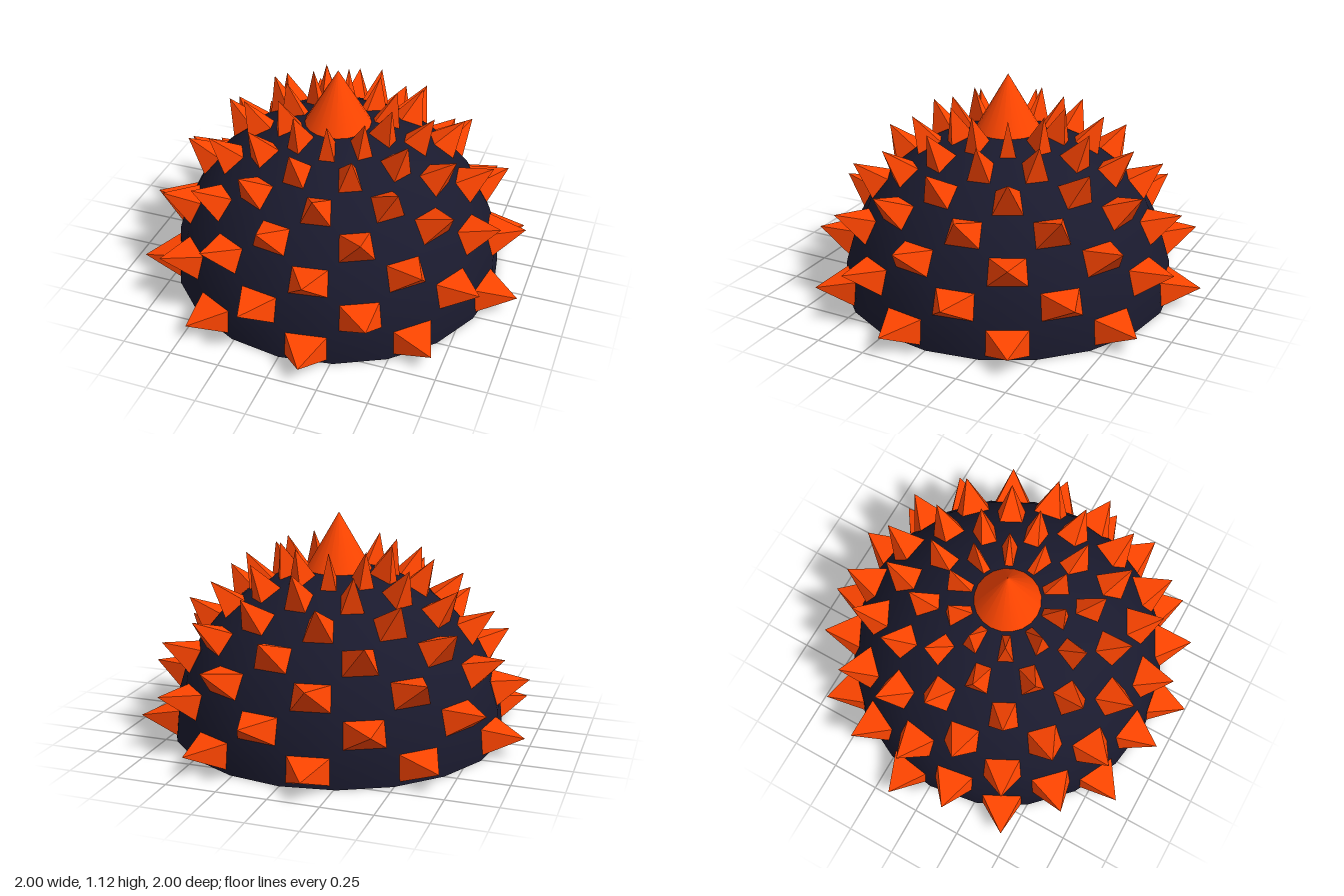
import * as THREE from 'three';

const R = 0.85, TIP = 1.0174, COLS = 20, ROWS = 8, INSET = 0.77;
const LAT = Math.PI / 2 / ROWS, LON = (Math.PI * 2) / COLS;

const onSphere = (r, row, col) => new THREE.Vector3(
  r * Math.cos(row * LAT) * Math.cos(col * LON),
  r * Math.sin(row * LAT),
  r * Math.cos(row * LAT) * Math.sin(col * LON));

// Corners of one grid cell, anticlockwise seen from outside
const cellCorners = (row, col) => [
  onSphere(R, row, col + 1), onSphere(R, row, col),
  onSphere(R, row + 1, col), onSphere(R, row + 1, col + 1)];

// The same cell shrunk towards its middle
function insetCorners(corners) {
  const mid = corners.reduce((s, p) => s.add(p), new THREE.Vector3()).multiplyScalar(0.25);
  return corners.map(p => mid.clone().lerp(p, INSET));
}

function fromTriangles(points) {
  const geometry = new THREE.BufferGeometry().setFromPoints(points);
  geometry.computeVertexNormals();
  return geometry;
}

export function createModel() {
  const group = new THREE.Group();
  const shellMaterial = new THREE.MeshStandardMaterial({ color: 0x1a1a2e, side: THREE.DoubleSide });
  const spikeMaterial = new THREE.MeshStandardMaterial({ color: 0xff4500, side: THREE.DoubleSide });

  const shell = [];
  const quad = (a, b, c, d) => shell.push(a, b, c, a, c, d);
  const spikes = new THREE.Group();
  spikes.name = 'spikes';

  // Checkerboard of plain cells and cells opened into hollow spikes
  for (let row = 0; row < ROWS - 1; row++) {
    for (let col = 0; col < COLS; col++) {
      const outer = cellCorners(row, col);
      if ((row + col) % 2) {
        quad(...outer);
        continue;
      }
      const inner = insetCorners(outer);
      const tip = onSphere(TIP, row + 0.5, col + 0.5);
      const faces = [];
      for (let i = 0; i < 4; i++) {
        const j = (i + 1) % 4;
        quad(outer[i], outer[j], inner[j], inner[i]);
        faces.push(inner[i], inner[j], tip);
      }
      const spike = new THREE.Mesh(fromTriangles(faces), spikeMaterial);
      spike.name = 'spike';
      spikes.add(spike);
    }
  }

  // Open dome with smooth, radial normals
  const domeGeometry = fromTriangles(shell);
  const normals = shell.flatMap(p => p.clone().normalize().toArray());
  domeGeometry.setAttribute('normal', new THREE.Float32BufferAttribute(normals, 3));
  const dome = new THREE.Mesh(domeGeometry, shellMaterial);
  dome.name = 'dome';

  // Large hollow cone closing the top ring
  const ring = onSphere(R, ROWS - 1, 0);
  const height = 1.12 - ring.y;
  const cone = new THREE.Mesh(new THREE.ConeGeometry(ring.x, height, COLS, 1, true), spikeMaterial);
  cone.position.y = ring.y + height / 2;
  cone.name = 'topCone';

  group.add(dome, spikes, cone);
  return group;
}
